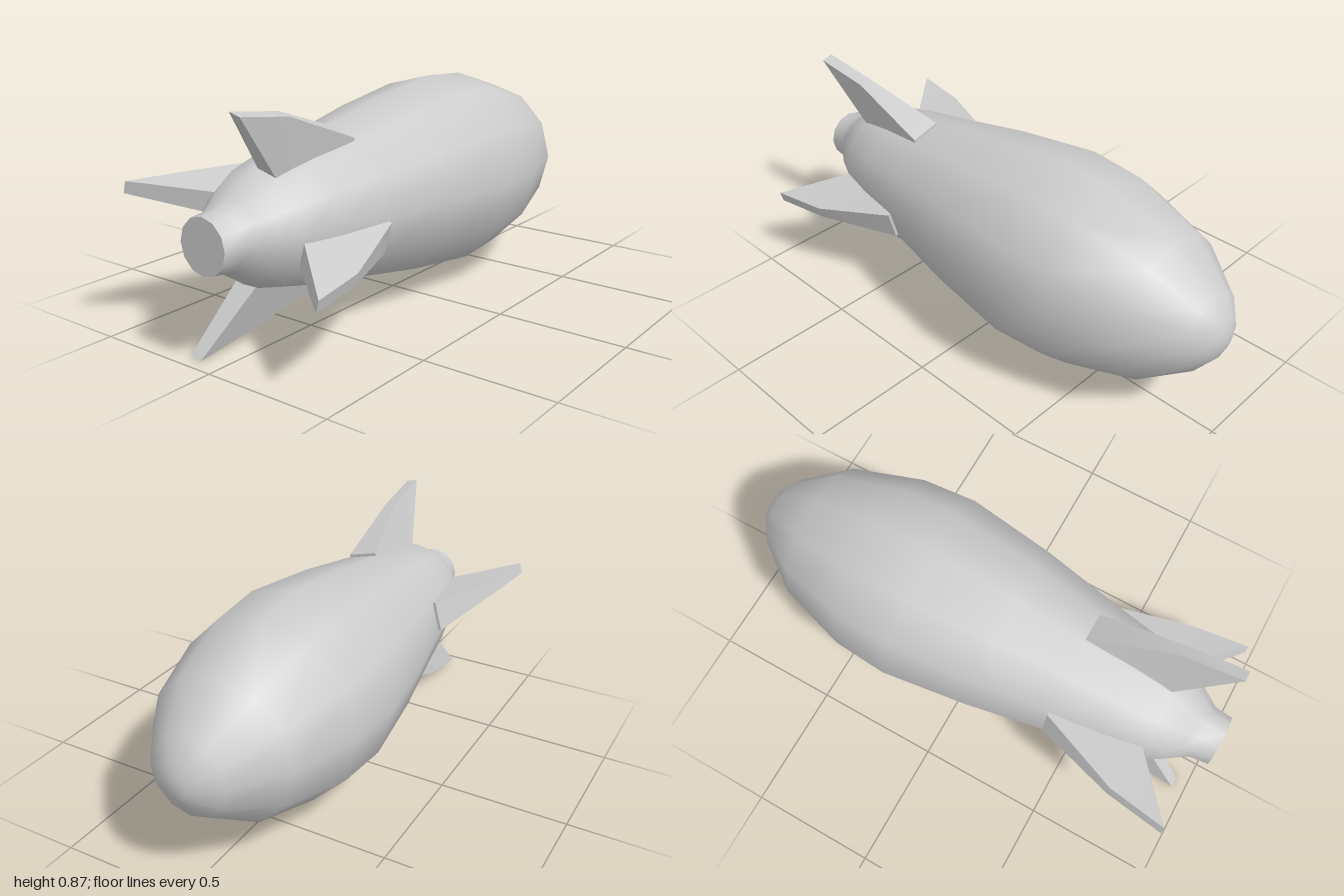
import * as THREE from 'three';
import { toCreasedNormals } from 'three/addons/utils/BufferGeometryUtils.js';

const AXIS_Y = 0.434;

// Loft an outline of [x, radius, halfThickness] points, counter-clockwise, into a tapered plate.
// The two sides are fanned from the last point.
function taperedPlate(outline) {
  const n = outline.length;
  const positions = [], index = [];
  for (const side of [1, -1]) {
    for (const [x, y, h] of outline) positions.push(x, y, side * h);
  }
  for (let i = 0; i < n; i++) {
    const j = (i + 1) % n;
    index.push(i, i + n, j + n, i, j + n, j);
    if (i < n - 2) index.push(n - 1, i, i + 1, 2 * n - 1, n + i + 1, n + i);
  }
  const geometry = new THREE.BufferGeometry();
  geometry.setAttribute('position', new THREE.Float32BufferAttribute(positions, 3));
  geometry.setIndex(index);
  return toCreasedNormals(geometry, 0.5);
}

export function createModel() {
  const model = new THREE.Group();
  model.name = 'finnedProjectile';
  const material = new THREE.MeshStandardMaterial({ color: 0xcccccc });

  // Twelve-sided body, tail to nose, as [radius, x]
  const profile = [
    [0, -1], [0.1, -1], [0.108, -0.93], [0.14, -0.88], [0.175, -0.83], [0.21, -0.76],
    [0.25, -0.6], [0.285, -0.4], [0.343, -0.1], [0.389, 0.24], [0.373, 0.46],
    [0.286, 0.745], [0.15, 0.93], [0.085, 0.978], [0.04, 0.996], [0, 1],
  ].map(([r, x]) => new THREE.Vector2(r, x));
  const body = new THREE.Mesh(
    toCreasedNormals(new THREE.LatheGeometry(profile, 12), 0.8), material);
  body.name = 'body';
  body.rotation.z = -Math.PI / 2;
  body.position.y = AXIS_Y;
  model.add(body);

  // Four swept fins, thick at the root and thin at the tip
  const finGeometry = taperedPlate([
    [-0.95, 0.443, 0.023],
    [-0.72, 0.16, 0.045],
    [-0.4, 0.2, 0.068],
    [-0.4, 0.287, 0.06],
    [-0.72, 0.407, 0.024],
  ]);
  const fins = new THREE.Group();
  fins.name = 'tailFins';
  fins.position.y = AXIS_Y;
  for (let i = 0; i < 4; i++) {
    const fin = new THREE.Mesh(finGeometry, material);
    fin.name = 'fin' + (i + 1);
    fin.rotation.x = Math.PI / 12 + (i * Math.PI) / 2;
    fins.add(fin);
  }
  model.add(fins);

  return model;
}
